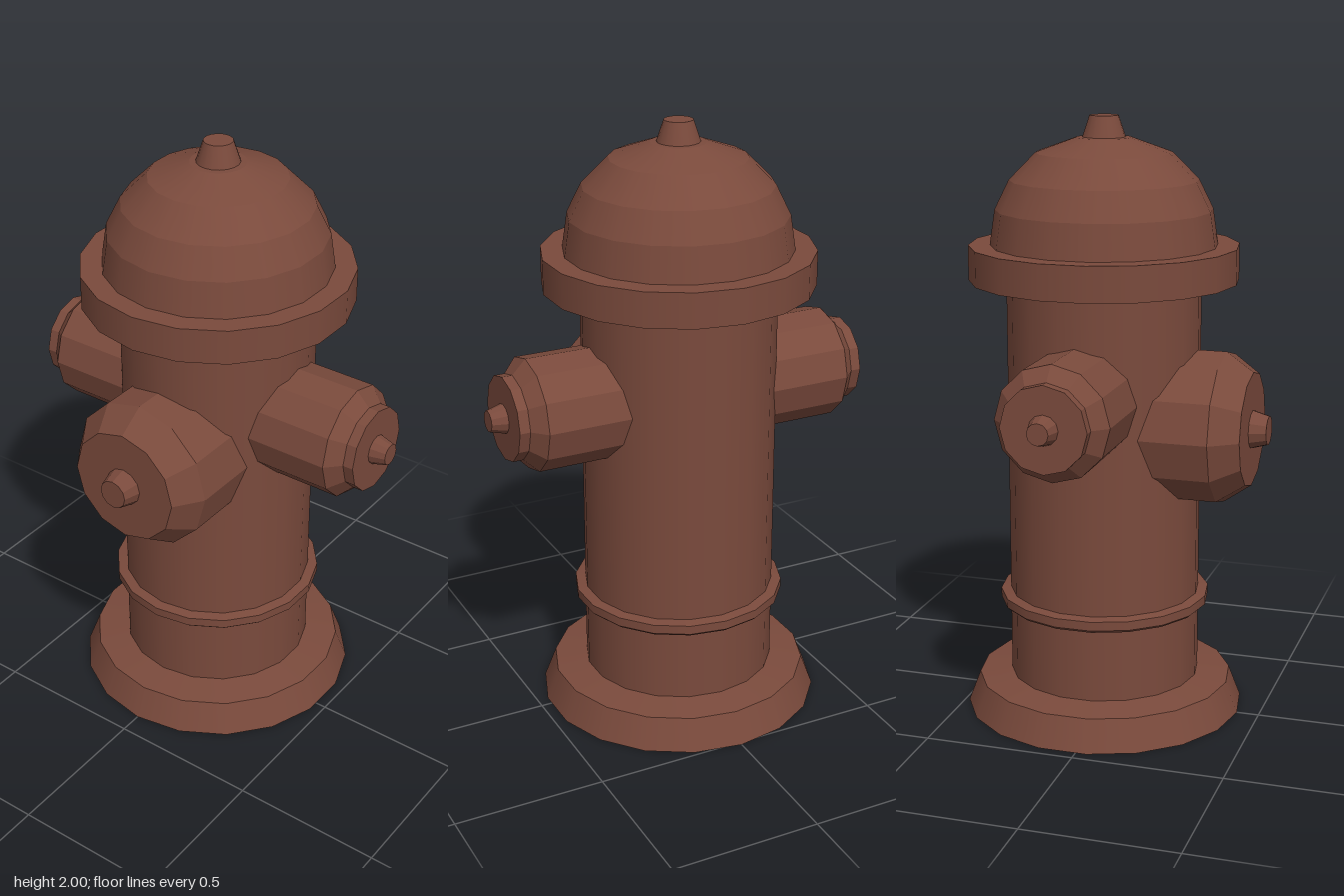
import * as THREE from 'three';
import { mergeGeometries } from 'three/addons/utils/BufferGeometryUtils.js';

const AXIS_Z = -0.045; // the barrel sits slightly behind the centre

// Turned part: smooth around the axis, a hard edge at every profile point
function turned(profile, sides) {
  const bands = [];
  for (let i = 0; i < profile.length - 1; i++) {
    const pair = [profile[i], profile[i + 1]].map(([r, y]) => new THREE.Vector2(r, y));
    bands.push(new THREE.LatheGeometry(pair, sides));
  }
  return mergeGeometries(bands);
}

export function createModel() {
  const model = new THREE.Group();
  model.name = 'fireHydrant';
  const smooth = new THREE.MeshStandardMaterial({ color: 0x7a4a3c });
  const faceted = new THREE.MeshStandardMaterial({ color: 0x7a4a3c, flatShading: true });

  const add = (parent, name, profile, sides, material) => {
    const mesh = new THREE.Mesh(turned(profile, sides), material);
    mesh.name = name;
    parent.add(mesh);
  };

  // Upright column, bottom to top
  const column = new THREE.Group();
  column.name = 'column';
  column.position.z = AXIS_Z;
  model.add(column);
  add(column, 'baseFlange', [[0, 0], [0.47, 0], [0.43, 0.105], [0.32, 0.12]], 18, smooth);
  add(column, 'barrel', [[0.32, 0.11], [0.32, 1.48]], 18, smooth);
  add(column, 'barrelRing',
    [[0.31, 0.368], [0.342, 0.368], [0.353, 0.378], [0.353, 0.408], [0.31, 0.416]], 18, smooth);
  add(column, 'topFlange', [[0.31, 1.47], [0.443, 1.47], [0.443, 1.585], [0.36, 1.585]], 18, smooth);
  add(column, 'dome',
    [[0.372, 1.585], [0.355, 1.7], [0.308, 1.795], [0.222, 1.882], [0.09, 1.93], [0.06, 1.932]], 18, smooth);
  add(column, 'finial', [[0.072, 1.925], [0.047, 2], [0, 2]], 18, smooth);

  // Side outlets, mirrored left and right
  for (const side of [1, -1]) {
    const outlet = new THREE.Group();
    outlet.name = side > 0 ? 'leftOutlet' : 'rightOutlet';
    outlet.position.set(0, 1.112, AXIS_Z);
    outlet.rotation.z = -side * Math.PI / 2;
    model.add(outlet);
    add(outlet, 'sideNozzle',
      [[0.187, 0.2], [0.187, 0.535], [0.14, 0.58], [0.14, 0.615], [0, 0.615]], 12, faceted);
    add(outlet, 'sideNut', [[0.05, 0.61], [0.035, 0.667], [0, 0.667]], 12, faceted);
  }

  // Large front outlet
  const front = new THREE.Group();
  front.name = 'frontOutlet';
  front.position.y = 1;
  front.rotation.x = Math.PI / 2;
  model.add(front);
  add(front, 'frontNozzle', [[0.253, 0.08], [0.253, 0.37], [0.19, 0.46], [0, 0.46]], 12, faceted);
  add(front, 'frontNut', [[0.065, 0.455], [0.048, 0.515], [0, 0.515]], 12, faceted);

  return model;
}
